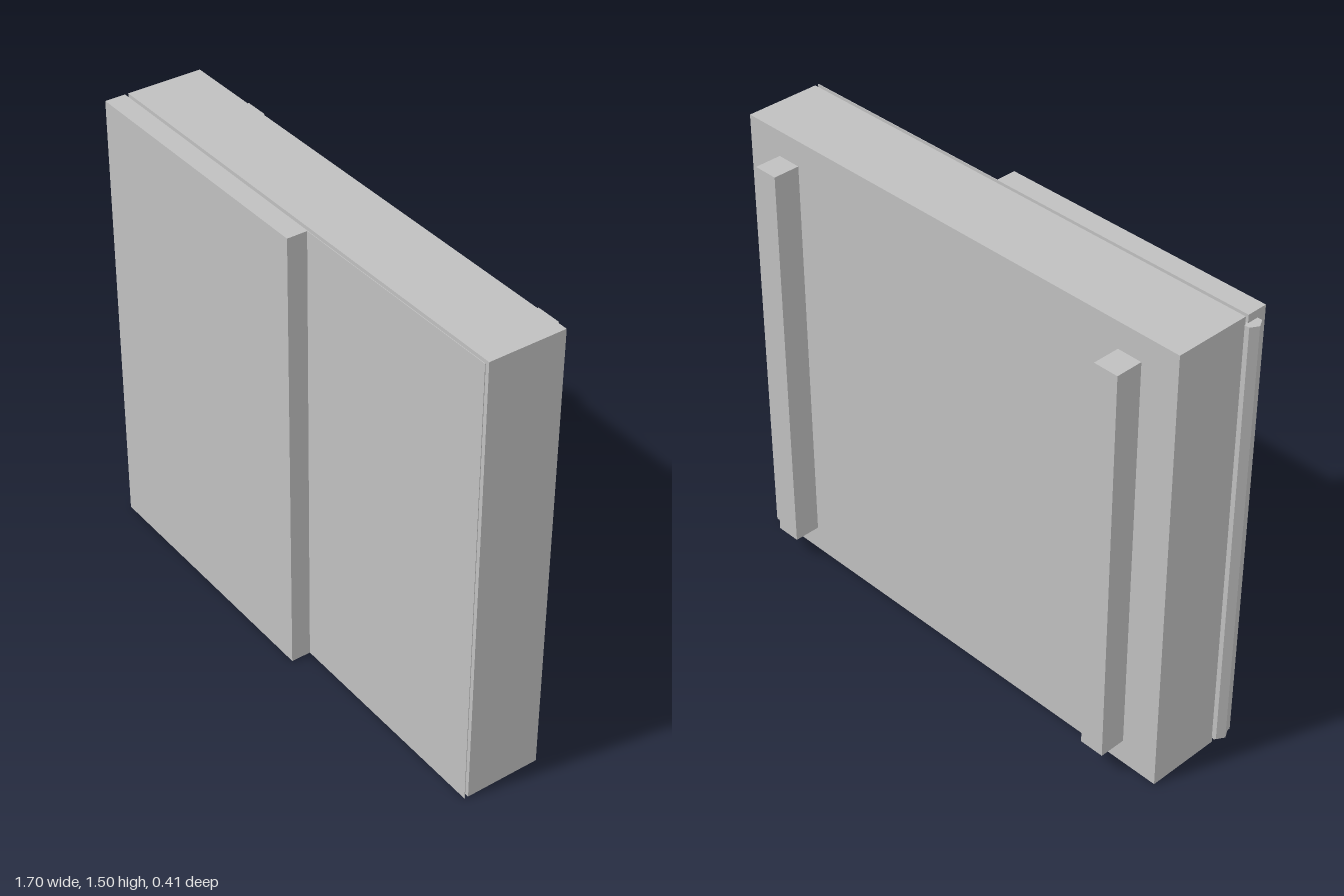
import * as THREE from 'three';

export function createModel() {
  const model = new THREE.Group();
  model.name = 'wallCabinet';
  const grey = new THREE.MeshStandardMaterial({ color: 0xc0c0c0 });
  grey.name = 'lightGrey';

  // Box placed by its lower and upper limits on each axis
  function slab(name, [x0, x1], [y0, y1], [z0, z1]) {
    const mesh = new THREE.Mesh(new THREE.BoxGeometry(x1 - x0, y1 - y0, z1 - z0), grey);
    mesh.position.set((x0 + x1) / 2, (y0 + y1) / 2, (z0 + z1) / 2);
    mesh.name = name;
    model.add(mesh);
  }

  const width = [-0.82, 0.85], height = [0.5, 2];

  // Main panel, a thin sheet just off its face, and the half-width door
  slab('body', width, height, [-0.119, 0.129]);
  slab('frontSheet', width, height, [0.14, 0.142]);
  slab('door', [-0.82, 0.097], height, [0.142, 0.207]);

  // Two upright mounting rails on the back
  for (const side of [-1, 1]) {
    const x = 0.015 + side * 0.668;
    slab(side < 0 ? 'rightRail' : 'leftRail', [x - 0.041, x + 0.041], [0.584, 1.916], [-0.207, -0.119]);
  }

  // Six-sided hinge pin with a corner pointing outwards
  const pin = new THREE.CylinderGeometry(0.029, 0.029, 1.452, 6).toNonIndexed();
  pin.rotateY(Math.PI / 6);
  pin.computeVertexNormals();
  const hinge = new THREE.Mesh(pin, grey);
  hinge.position.set(-0.821, 1.248, 0.152);
  hinge.name = 'hinge';
  model.add(hinge);

  return model;
}
